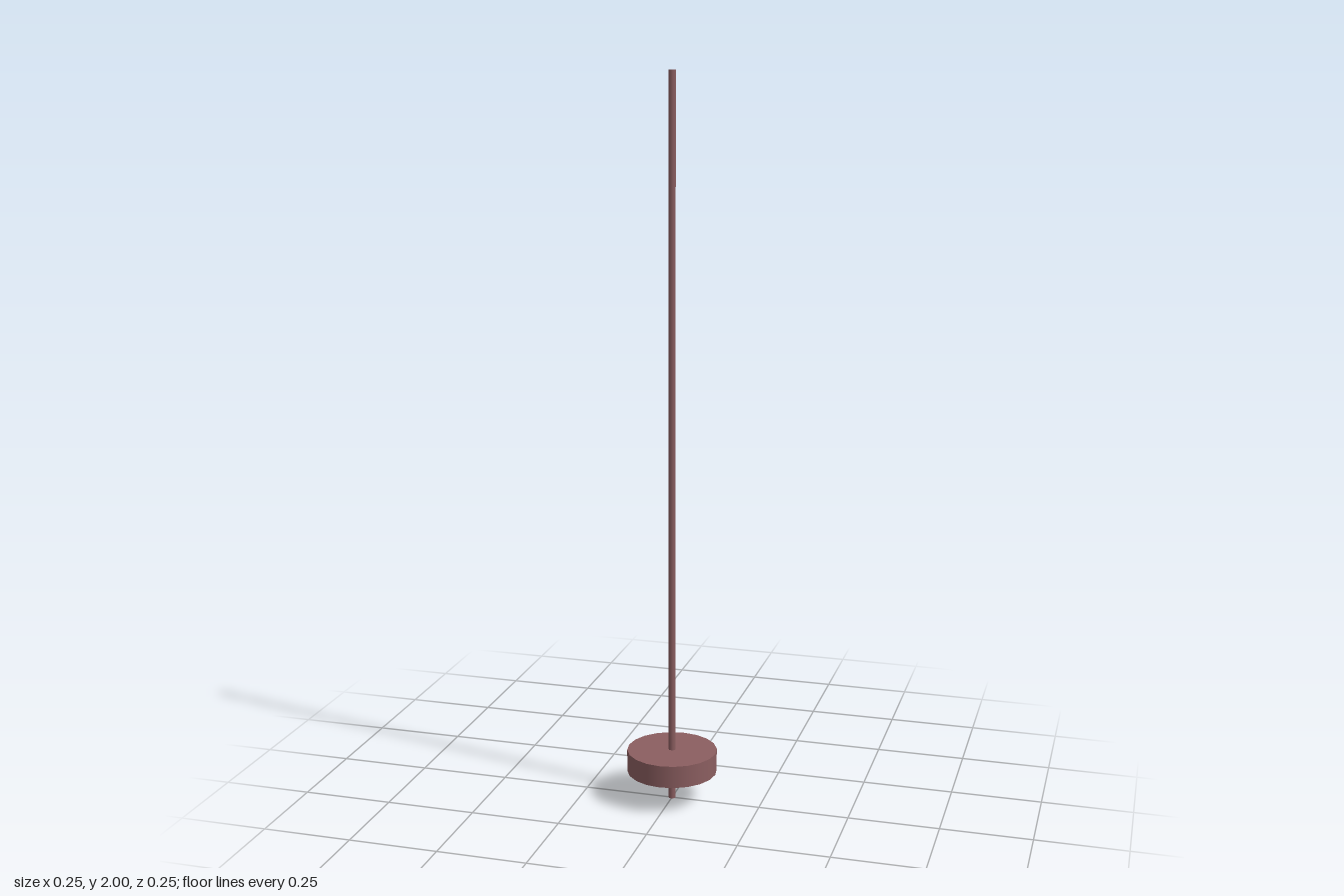
import * as THREE from 'three';

export function createModel() {
  const group = new THREE.Group();
  const material = new THREE.MeshStandardMaterial({ color: 0x8b5e60, side: THREE.DoubleSide });

  const add = (name, geometry, y) => {
    const mesh = new THREE.Mesh(geometry, material);
    mesh.name = name;
    mesh.position.y = y;
    group.add(mesh);
  };

  // Slim six-sided rod, full height, corners on the x axis
  add('rod', new THREE.CylinderGeometry(0.01, 0.01, 2, 6, 1, false, Math.PI / 6), 1);

  // Shallow cup near the foot of the rod: thin wall, closed top, open underneath
  const radius = 0.125, bottom = 0.082, top = 0.144, sides = 20;
  add('cupWall', new THREE.CylinderGeometry(radius, radius, top - bottom, sides, 1, true), (top + bottom) / 2);
  add('cupTop', new THREE.CircleGeometry(radius, sides).rotateX(-Math.PI / 2), top);

  return group;
}
